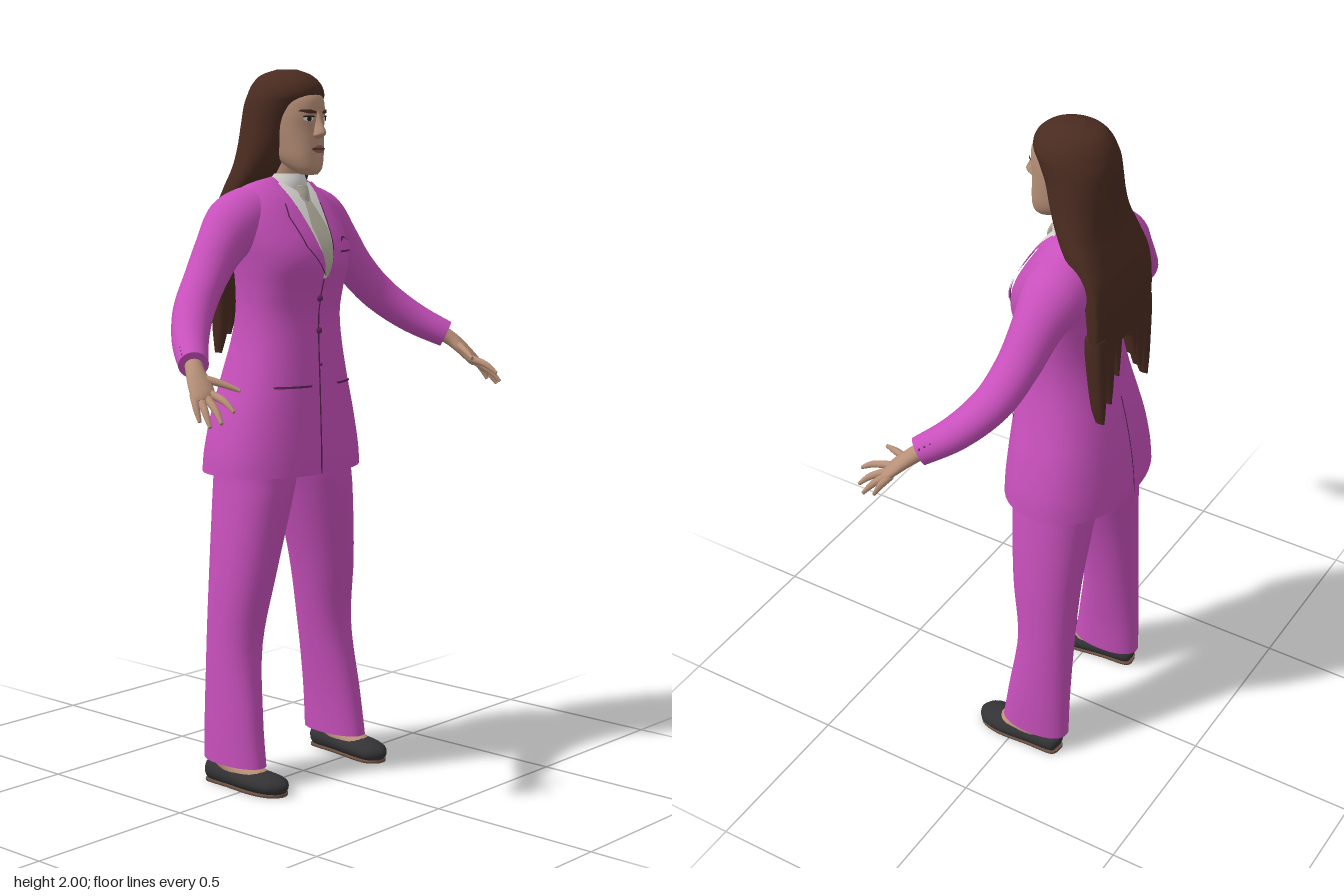
import * as THREE from 'three';

const paint = (name, color) => Object.assign(new THREE.MeshStandardMaterial({ color }), { name });
const M = {
  suit: paint('suit purple', 0xc850bc), trim: paint('dark purple', 0x5e2659),
  hair: paint('brown hair', 0x4a2b20), skin: paint('skin', 0xb89078),
  lips: paint('lips', 0x8f5c50), dark: paint('eye dark', 0x241a18),
  shirt: paint('shirt white', 0xdcd9d6), tie: paint('tie beige', 0xb4b09f),
  shoe: paint('shoe black', 0x333335), sole: paint('sole brown', 0x6b5142),
};

// Catmull-Rom smoothing of rows of numbers
function smooth(rows, k = 5) {
  const out = [], at = i => rows[Math.min(rows.length - 1, Math.max(0, i))];
  for (let i = 0; i < rows.length - 1; i++) {
    for (let s = 0; s < k; s++) {
      const t = s / k;
      out.push(rows[i].map((b, c) => {
        const a = at(i - 1)[c], d = at(i + 1)[c], e = at(i + 2)[c];
        return b + 0.5 * t * (d - a + t * (2 * a - 5 * b + 4 * d - e + t * (3 * (b - d) + e - a)));
      }));
    }
  }
  out.push(rows[rows.length - 1].slice());
  return out;
}

// Closed skin over rings of points, with flat end caps
function skin(rings) {
  const n = rings[0].length, pos = [], idx = [];
  rings.forEach(r => r.forEach(p => pos.push(p.x, p.y, p.z)));
  for (let i = 0; i < rings.length - 1; i++) {
    for (let j = 0; j < n; j++) {
      const a = i * n + j, b = i * n + (j + 1) % n;
      idx.push(a, b, b + n, a, b + n, a + n);
    }
  }
  [rings[0], rings[rings.length - 1]].forEach((r, end) => {
    const base = pos.length / 3, c = new THREE.Vector3();
    r.forEach(p => { pos.push(p.x, p.y, p.z); c.addScaledVector(p, 1 / n); });
    pos.push(c.x, c.y, c.z);
    for (let j = 0; j < n; j++) {
      const a = base + j, b = base + (j + 1) % n;
      idx.push(base + n, end ? a : b, end ? b : a);
    }
  });
  const g = new THREE.BufferGeometry();
  g.setAttribute('position', new THREE.Float32BufferAttribute(pos, 3));
  g.setIndex(idx);
  g.computeVertexNormals();
  return g;
}

// Upright form: rows of [y, centre x, half width, front z, back z, roundness], rising
function loft(rows, n = 36) {
  return skin(smooth(rows).map(([y, cx, rx, f, b, p]) => Array.from({ length: n }, (_, j) => {
    const a = j / n * Math.PI * 2, s = Math.sin(a), c = Math.cos(a), e = 2 / p;
    return new THREE.Vector3(cx + rx * Math.sign(s) * Math.abs(s) ** e, y,
      (f + b) / 2 + (f - b) / 2 * Math.sign(c) * Math.abs(c) ** e);
  })));
}

// Limb along a path: rows of [x, y, z, sideways radius, upright radius]
function limb(rows, n = 20, floor = -1, ceiling = 9) {
  const d = smooth(rows), P = d.map(r => new THREE.Vector3(r[0], r[1], r[2]));
  return skin(d.map((r, i) => {
    const t = P[Math.min(i + 1, P.length - 1)].clone().sub(P[Math.max(i - 1, 0)]).normalize();
    const u = new THREE.Vector3(0, 1, 0).cross(t).normalize(), v = t.clone().cross(u);
    return Array.from({ length: n }, (_, j) => {
      const a = j / n * Math.PI * 2;
      const q = P[i].clone().addScaledVector(u, r[3] * Math.cos(a)).addScaledVector(v, r[4] * Math.sin(a));
      q.y = Math.min(ceiling, Math.max(floor, q.y));
      return q;
    });
  }));
}

// Depth of a lofted form at x, y (dir 1 front, -1 back)
function depth(rows, x, y, dir) {
  const d = smooth(rows);
  let i = 0;
  while (i < d.length - 2 && d[i + 1][0] < y) i++;
  const t = Math.min(1, Math.max(0, (y - d[i][0]) / (d[i + 1][0] - d[i][0])));
  const [, , rx, f, b, p] = d[i].map((v, c) => v + (d[i + 1][c] - v) * t);
  const k = Math.min(0.96, Math.abs(x / rx));
  return (f + b) / 2 + dir * (f - b) / 2 * (1 - k ** p) ** (1 / p);
}

// Thin panel laid on a form: rows of [y, x from, x to], rising
function panel(form, rows, off = 0.004, dir = 1) {
  const pos = [], idx = [], N = 8, K = 5, R = (rows.length - 1) * K;
  for (let r = 0; r <= R; r++) {
    const i = Math.min(rows.length - 2, Math.floor(r / K)), t = r / K - i;
    const [y, x0, x1] = rows[i].map((v, c) => v + (rows[i + 1][c] - v) * t);
    for (let j = 0; j <= N; j++) {
      const x = x0 + (x1 - x0) * (dir > 0 ? j : N - j) / N;
      pos.push(x, y, depth(form, x, y, dir) + off * dir);
    }
  }
  for (let r = 0; r < R; r++) {
    for (let j = 0; j < N; j++) {
      const a = r * (N + 1) + j, d = a + N + 1;
      idx.push(a, a + 1, d + 1, a, d + 1, d);
    }
  }
  const g = new THREE.BufferGeometry();
  g.setAttribute('position', new THREE.Float32BufferAttribute(pos, 3));
  g.setIndex(idx);
  g.computeVertexNormals();
  return g;
}

const JACKET = [
  [0.885, 0, 0.25, 0.095, -0.262, 2.3], [0.95, 0, 0.243, 0.092, -0.258, 2.3],
  [1.05, 0, 0.22, 0.085, -0.245, 2.3], [1.15, 0, 0.19, 0.078, -0.225, 2.3],
  [1.25, 0, 0.165, 0.07, -0.2, 2.3], [1.33, 0, 0.157, 0.066, -0.185, 2.3],
  [1.4, 0, 0.16, 0.075, -0.18, 2.4], [1.47, 0, 0.17, 0.09, -0.185, 2.4],
  [1.53, 0, 0.18, 0.075, -0.195, 2.4], [1.6, 0, 0.185, 0.035, -0.2, 2.3],
  [1.65, 0, 0.165, 0, -0.19, 2.2], [1.69, 0, 0.115, -0.035, -0.165, 2], [1.71, 0, 0.06, -0.05, -0.14, 2]];
const HEAD = [
  [1.713, 0, 0.022, 0.045, 0, 2], [1.73, 0, 0.042, 0.056, -0.04, 2], [1.76, 0, 0.058, 0.056, -0.09, 2.2],
  [1.8, 0, 0.068, 0.055, -0.13, 2.2], [1.84, 0, 0.075, 0.053, -0.15, 2.2], [1.88, 0, 0.077, 0.056, -0.155, 2.2],
  [1.92, 0, 0.074, 0.051, -0.15, 2.2], [1.95, 0, 0.062, 0.03, -0.13, 2]];

export function createModel() {
  const model = new THREE.Group();
  const add = (name, geo, mat, x = 0, y = 0, z = 0) => {
    const m = new THREE.Mesh(geo, mat);
    m.name = name;
    m.position.set(x, y, z);
    model.add(m);
    return m;
  };
  const button = (x, y, z, r = 0.009) => add('button', new THREE.SphereGeometry(r, 12, 8), M.trim, x, y, z);
  const mirror = (rows, s) => rows.map(([y, a, b]) => s > 0 ? [y, a, b] : [y, -b, -a]);

  // Jacket with shirt front, tie and collar
  add('jacket', loft(JACKET, 48), M.suit);
  add('shirtFront', panel(JACKET, [[1.43, -0.012, 0], [1.52, -0.03, 0.03], [1.6, -0.048, 0.048], [1.69, -0.065, 0.065]]), M.shirt);
  add('tie', panel(JACKET, [[1.435, -0.012, 0], [1.5, -0.024, 0.02], [1.57, -0.032, 0.03], [1.64, -0.014, 0.014],
    [1.65, -0.019, 0.019], [1.68, -0.022, 0.022]], 0.009), M.tie);
  add('shirtCollar', loft([[1.655, 0, 0.066, -0.005, -0.15, 2], [1.69, 0, 0.06, -0.006, -0.145, 2], [1.715, 0, 0.053, -0.014, -0.135, 2]]), M.shirt);
  add('tieKnot', loft([[1.638, 0, 0.012, 0.018, -0.02, 2.5], [1.66, 0, 0.018, 0.014, -0.02, 2.5], [1.682, 0, 0.022, 0.003, -0.02, 2.5]], 16), M.tie);
  add('frontSeam', panel(JACKET, [[0.887, -0.034, -0.029], [1.2, -0.022, -0.017], [1.43, -0.012, -0.007]]), M.trim);
  add('backVent', panel(JACKET, [[0.887, -0.002, 0.002], [1.2, -0.002, 0.002]], 0.003, -1), M.trim);
  [[1.375, 0.01], [1.285, 0.01], [1.19, 0.005]].forEach(([y, r]) => button(-0.011, y, depth(JACKET, -0.011, y, 1), r));
  add('breastPocket', panel(JACKET, [[1.498, 0.05, 0.145], [1.504, 0.05, 0.145]]), M.trim);
  add('pocketSquare', panel(JACKET, [[1.504, 0.052, 0.142], [1.518, 0.058, 0.135], [1.536, 0.085, 0.1]], 0.009), M.suit);
  add('pocketSquareEdge', panel(JACKET, [[1.504, 0.048, 0.146], [1.52, 0.053, 0.139], [1.541, 0.085, 0.101]], 0.006), M.trim);

  // Neck, head and facial features
  add('neck', loft([[1.66, 0, 0.05, -0.018, -0.125, 2], [1.7, 0, 0.046, -0.018, -0.12, 2], [1.77, 0, 0.047, 0, -0.12, 2]]), M.skin);
  add('head', loft(HEAD), M.skin);
  add('nose', loft([[1.812, 0, 0.01, 0.06, 0.03, 2], [1.82, 0, 0.017, 0.075, 0.03, 2], [1.83, 0, 0.015, 0.081, 0.03, 2],
    [1.855, 0, 0.01, 0.069, 0.03, 2], [1.888, 0, 0.008, 0.056, 0.03, 2]], 16), M.skin);
  add('mouth', panel(HEAD, [[1.772, -0.01, 0.01], [1.78, -0.025, 0.025], [1.785, -0.027, 0.027], [1.793, -0.008, 0.008]], 0.005), M.lips);
  add('mouthLine', panel(HEAD, [[1.7825, -0.025, 0.025], [1.785, -0.025, 0.025]], 0.007), M.dark);

  // Hair over the crown and down the back, ending in loose strands
  add('hair', loft([
    [1.41, 0, 0.143, -0.18, -0.23, 4], [1.5, 0, 0.148, -0.175, -0.233, 4], [1.6, 0, 0.147, -0.155, -0.227, 3.6],
    [1.67, 0, 0.143, -0.095, -0.207, 3], [1.73, 0, 0.132, -0.05, -0.192, 2.5], [1.79, 0, 0.12, -0.02, -0.188, 2.3],
    [1.85, 0, 0.112, 0, -0.186, 2.2], [1.9, 0, 0.107, 0.026, -0.184, 2.1], [1.93, 0, 0.102, 0.045, -0.178, 2],
    [1.96, 0, 0.088, 0.038, -0.165, 2], [1.985, 0, 0.064, 0.01, -0.14, 2], [2, 0, 0.025, -0.03, -0.095, 2]], 48), M.hair);
  [[-0.118, 0.028, 1.21], [-0.08, 0.03, 1.26], [-0.043, 0.022, 1.32], [0.043, 0.022, 1.3], [0.082, 0.03, 1.23], [0.12, 0.026, 1.185]]
    .forEach(([x, w, end]) => add('hairStrand', loft([
      [end, x, 0.004, -0.205, -0.232, 2], [end + 0.06, x, w * 0.6, -0.19, -0.233, 2.5],
      [1.4, x, w, -0.175, -0.232, 3], [1.46, x, w, -0.175, -0.23, 3]], 16), M.hair));

  for (const s of [1, -1]) {
    const X = rows => rows.map(([x, ...r]) => [x * s, ...r]);

    // Lapel, collar point and pocket flap
    add('lapel', panel(JACKET, mirror([[1.435, 0, 0.006], [1.52, 0.03, 0.07], [1.6, 0.046, 0.09], [1.635, 0.053, 0.082], [1.69, 0.064, 0.1]], s), 0.008), M.suit);
    add('lapelEdge', panel(JACKET, mirror([[1.435, 0.004, 0.008], [1.52, 0.028, 0.073], [1.6, 0.044, 0.093], [1.635, 0.051, 0.085]], s), 0.006), M.trim);
    add('collarPoint', panel(JACKET, mirror([[1.628, 0.036, 0.042], [1.66, 0.018, 0.056], [1.69, 0.012, 0.06]], s), 0.0095), M.shirt);
    add('pocketFlap', panel(JACKET, mirror([[1.13, 0.055, 0.155], [1.136, 0.05, 0.158]], s)), M.trim);

    // Eye and brow
    add('eyeWhite', panel(HEAD, mirror([[1.859, 0.026, 0.038], [1.865, 0.019, 0.047], [1.871, 0.025, 0.04]], s), 0.003), M.shirt);
    add('iris', panel(HEAD, mirror([[1.859, 0.03, 0.036], [1.865, 0.027, 0.039], [1.872, 0.029, 0.037]], s), 0.005), M.dark);
    add('upperLid', panel(HEAD, mirror([[1.87, 0.017, 0.05], [1.874, 0.022, 0.045]], s), 0.006), M.dark);
    add('eyebrow', panel(HEAD, mirror([[1.88, 0.012, 0.035], [1.886, 0.013, 0.056], [1.891, 0.03, 0.052]], s), 0.005), M.hair);

    // Sleeve and cuff buttons
    add('sleeve', limb(X([[0.1, 1.6, -0.1, 0.085, 0.085], [0.17, 1.575, -0.1, 0.087, 0.085], [0.24, 1.515, -0.092, 0.068, 0.068],
      [0.31, 1.435, -0.078, 0.06, 0.056], [0.385, 1.355, -0.048, 0.056, 0.052], [0.46, 1.285, 0.015, 0.049, 0.046],
      [0.525, 1.235, 0.092, 0.04, 0.039]]), 28), M.suit);
    for (const k of [-1, 0, 1]) button(s * (0.537 + k * 0.0085), 1.268 - k * 0.0075, 0.063 + k * 0.0115, 0.006);

    // Hand
    add('palm', limb(X([[0.505, 1.25, 0.068, 0.024, 0.024], [0.533, 1.222, 0.105, 0.025, 0.021], [0.548, 1.195, 0.135, 0.032, 0.018],
      [0.56, 1.167, 0.162, 0.034, 0.015], [0.564, 1.153, 0.176, 0.027, 0.01]])), M.skin);
    [[[0.54, 1.168, 0.17], [0.546, 1.153, 0.225], [0.55, 1.13, 0.262]],
      [[0.556, 1.16, 0.17], [0.572, 1.133, 0.218], [0.583, 1.102, 0.25]],
      [[0.57, 1.16, 0.16], [0.589, 1.128, 0.198], [0.6, 1.092, 0.226]],
      [[0.58, 1.168, 0.147], [0.594, 1.138, 0.17], [0.601, 1.103, 0.19]],
      [[0.54, 1.208, 0.122], [0.51, 1.192, 0.178], [0.486, 1.175, 0.222]]].forEach(([a, b, c], i) => {
      add(i < 4 ? 'finger' : 'thumb', limb(X([[...a, 0.011, 0.011], [...b, 0.0095, 0.0095], [...c, 0.005, 0.005]]), 10), M.skin);
    });

    // Trouser leg
    add('trouserLeg', loft([[0.065, s * 0.213, 0.053, 0.04, -0.175, 2.2], [0.2, s * 0.208, 0.057, 0.02, -0.175, 2.2],
      [0.4, s * 0.19, 0.067, -0.005, -0.176, 2.2], [0.6, s * 0.166, 0.082, 0.02, -0.181, 2.2],
      [0.8, s * 0.13, 0.099, 0.04, -0.195, 2.2], [0.88, s * 0.115, 0.106, 0.042, -0.2, 2.2], [0.98, s * 0.11, 0.11, 0.04, -0.2, 2.2]]), M.suit);

    // Foot and flat shoe
    const shoe = X([[0.226, 0.03, -0.157, 0.014, 0.018], [0.225, 0.032, -0.14, 0.034, 0.032], [0.223, 0.03, -0.06, 0.04, 0.034],
      [0.219, 0.028, 0.03, 0.051, 0.032], [0.212, 0.025, 0.085, 0.047, 0.027], [0.21, 0.02, 0.11, 0.03, 0.021], [0.209, 0.016, 0.121, 0.01, 0.012]]);
    add('foot', limb(X([[0.224, 0.09, -0.12, 0.034, 0.03], [0.222, 0.05, -0.05, 0.036, 0.035], [0.218, 0.042, 0.02, 0.038, 0.026], [0.214, 0.03, 0.07, 0.025, 0.014]])), M.skin);
    add('shoe', limb(shoe, 24, 0.006, 0.058), M.shoe);
    add('sole', limb(shoe.map(([x, y, z, a]) => [x, 0.004, z, a * 0.9, 0.02]), 24, 0, 0.008), M.sole);
  }
  return model;
}
